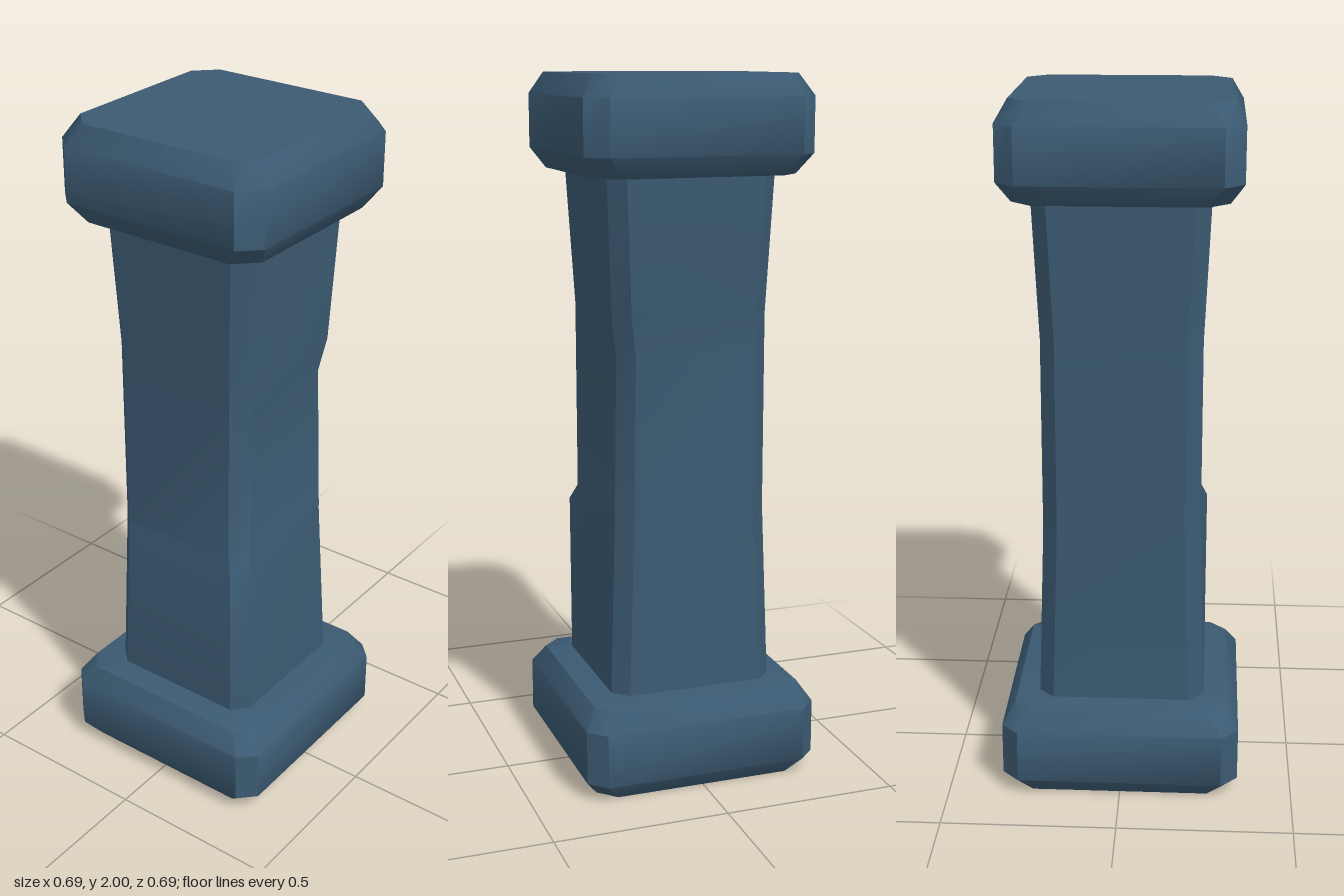
import * as THREE from 'three';
import { toCreasedNormals } from 'three/addons/utils/BufferGeometryUtils.js';

// Chamfered square outline; each corner has its own half-width and height.
// Corner order: right-back, left-back, left-front, right-front.
function ring(y, r, chamfer, change = {}) {
  const points = [];
  for (let k = 0; k < 4; k++) {
    const c = { y, r, ...change[k] };
    for (let [x, z] of [[c.r, chamfer - c.r], [c.r - chamfer, -c.r]]) {
      for (let n = 0; n < k; n++) [x, z] = [z, -x];
      points.push([x, c.y, z]);
    }
  }
  return points;
}

// Skin a stack of rings and close both ends
function loft(rings) {
  const pos = [];
  const tri = (a, b, c) => pos.push(...a, ...b, ...c);
  for (let i = 0; i < rings.length - 1; i++) {
    const lo = rings[i], hi = rings[i + 1];
    for (let j = 0; j < 8; j++) {
      const k = (j + 1) % 8;
      tri(lo[j], lo[k], hi[k]);
      tri(lo[j], hi[k], hi[j]);
    }
  }
  const first = rings[0], last = rings[rings.length - 1];
  for (let j = 1; j < 7; j++) {
    tri(first[0], first[j + 1], first[j]);
    tri(last[0], last[j], last[j + 1]);
  }
  const geo = new THREE.BufferGeometry();
  geo.setAttribute('position', new THREE.Float32BufferAttribute(pos, 3));
  return toCreasedNormals(geo, 0.7);
}

export function createModel() {
  const group = new THREE.Group();
  const stone = new THREE.MeshStandardMaterial({ color: 0x3b5a72 });
  stone.name = 'blue stone';
  const add = (name, rings) => {
    const mesh = new THREE.Mesh(loft(rings), stone);
    mesh.name = name;
    group.add(mesh);
  };

  // Bevelled foot block
  add('base', [
    ring(0, 0.305, 0.05),
    ring(0.05, 0.343, 0.048),
    ring(0.205, 0.343, 0.048),
    ring(0.26, 0.308, 0.05),
    ring(0.272, 0.24, 0.045),
  ]);

  // Waisted shaft: a ledge on the right-front corner, a chip on the right-back one
  add('shaft', [
    ring(0.25, 0.241, 0.043),
    ring(0.78, 0.225, 0.043, { 0: { r: 0.219 }, 3: { y: 0.745, r: 0.242 } }),
    ring(0.79, 0.225, 0.043, { 0: { r: 0.219 }, 3: { r: 0.222 } }),
    ring(1.24, 0.225, 0.043, { 0: { r: 0.208 }, 3: { r: 0.222 } }),
    ring(1.34, 0.225, 0.043, { 3: { r: 0.222 } }),
    ring(1.75, 0.243, 0.043),
  ]);

  // Bevelled head block
  add('capital', [
    ring(1.73, 0.29, 0.058),
    ring(1.787, 0.327, 0.055),
    ring(1.94, 0.327, 0.055),
    ring(2, 0.293, 0.058),
  ]);

  return group;
}
